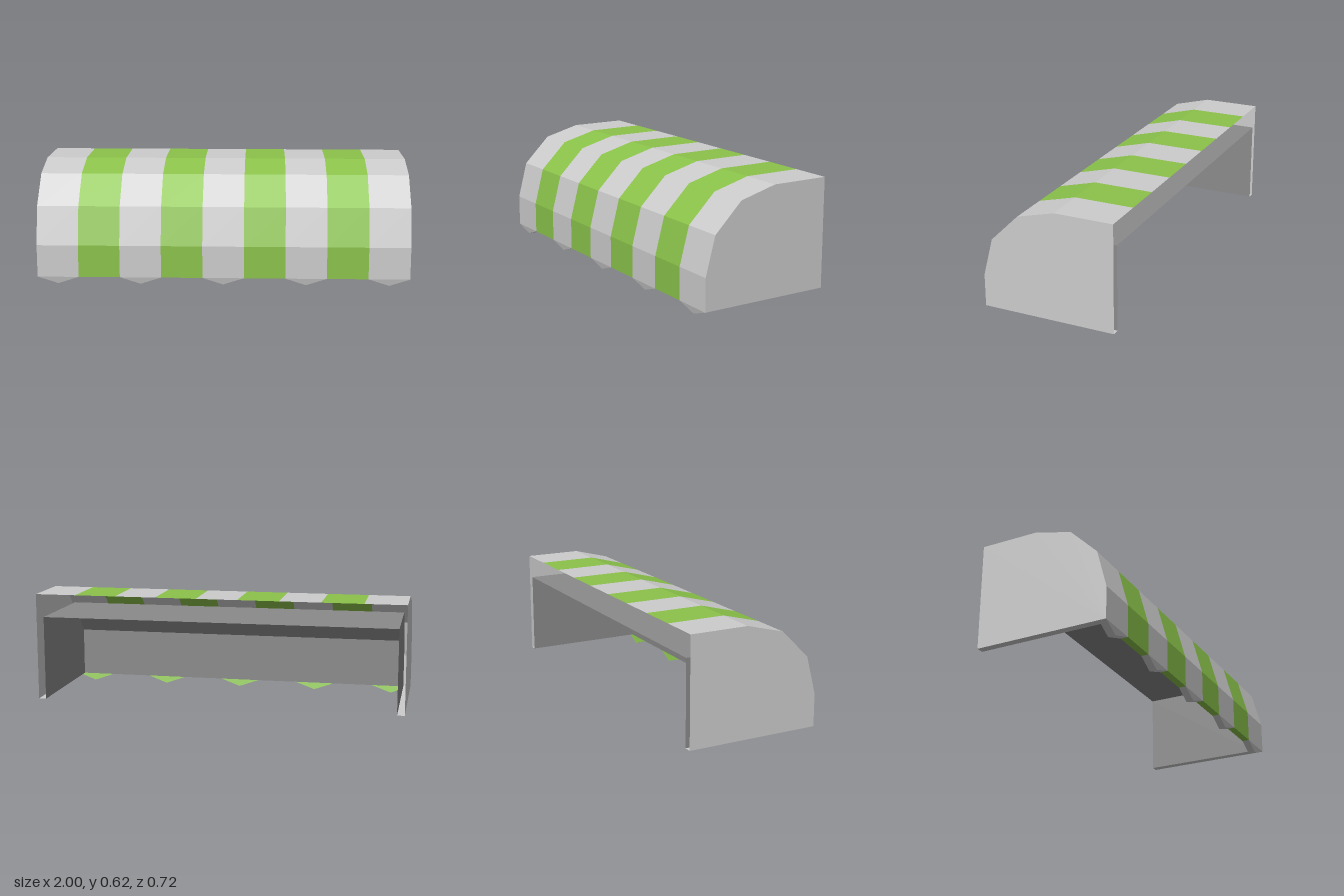
import * as THREE from 'three';

const mat = (name, color) => new THREE.MeshStandardMaterial({ name, color, side: THREE.DoubleSide });

// Flat-shaded mesh from convex polygons, each a loop of [x, y, z] corners.
function panels(name, material, polygons) {
  const pos = [];
  for (const p of polygons)
    for (let i = 1; i < p.length - 1; i++) pos.push(...p[0], ...p[i], ...p[i + 1]);
  const geo = new THREE.BufferGeometry();
  geo.setAttribute('position', new THREE.Float32BufferAttribute(pos, 3));
  geo.computeVertexNormals();
  const mesh = new THREE.Mesh(geo, material);
  mesh.name = name;
  return mesh;
}

// Sweeps a [z, y] profile along x, one quad per profile segment.
function sweep(profile, x0, x1) {
  return profile.slice(1).map(([z1, y1], i) => {
    const [z0, y0] = profile[i];
    return [[x0, y0, z0], [x1, y0, z0], [x1, y1, z1], [x0, y1, z1]];
  });
}

// Cross-section polygon placed at one x; order flipped to face +x or -x.
function capAt(profile, x, facing) {
  const loop = profile.map(([z, y]) => [x, y, z]);
  return facing > 0 ? loop.reverse() : loop;
}

export function createModel() {
  const canvas = mat('light grey canvas', 0xcccccc);
  const green = mat('green canvas', 0x8bc34a);
  const lining = mat('dark grey lining', 0x8a8a8a);

  const group = new THREE.Group();
  group.name = 'awning';

  const base = 0.038, back = -0.362, front = 0.362, t = 0.04;
  const outer = [[front, base], [front, 0.212], [0.308, 0.416], [0.157, 0.566], [-0.046, 0.62], [back, 0.62]];
  const inner = [[front - t, base], [front - t, 0.305], [0.17, 0.495], [back, 0.495]];

  // Striped outer cover with its bottom hem
  const count = 9, w = 2 / count;
  for (let i = 0; i < count; i++) {
    const x0 = -1 + i * w, x1 = x0 + w;
    const isGreen = i % 2 === 1;
    const strip = [[front - t, base], ...outer];
    group.add(panels(isGreen ? 'greenStripe' : 'lightStripe', isGreen ? green : canvas, sweep(strip, x0, x1)));

    // Pointed flap below each light stripe, green on its back
    if (!isGreen) {
      const xm = (x0 + x1) / 2;
      const f = [[x0, base, front], [xm, 0, 0.353], [x1, base, front]];
      const b = [[x0, base, front - t], [xm, 0, 0.353 - t], [x1, base, front - t]];
      group.add(panels('flap', canvas, [f, [b[0], b[1], f[1], f[0]], [b[1], b[2], f[2], f[1]]]));
      group.add(panels('flapBack', green, [[b[2], b[1], b[0]]]));
    }
  }

  // End walls and their bottom hems
  for (const s of [-1, 1]) {
    const x0 = Math.min(s, s * (1 - t)), x1 = Math.max(s, s * (1 - t));
    group.add(panels('endWall', canvas, [
      capAt([...outer, [back, base]], s, s),
      ...sweep([[back, base], [front - t, base]], x0, x1),
    ]));
    group.add(panels('endLining', lining, [capAt([...inner, [back, base]], s * (1 - t), -s)]));
  }

  // Inner lining, open at the back and below
  group.add(panels('lining', lining, sweep([...inner].reverse(), -1 + t, 1 - t)));
  return group;
}
